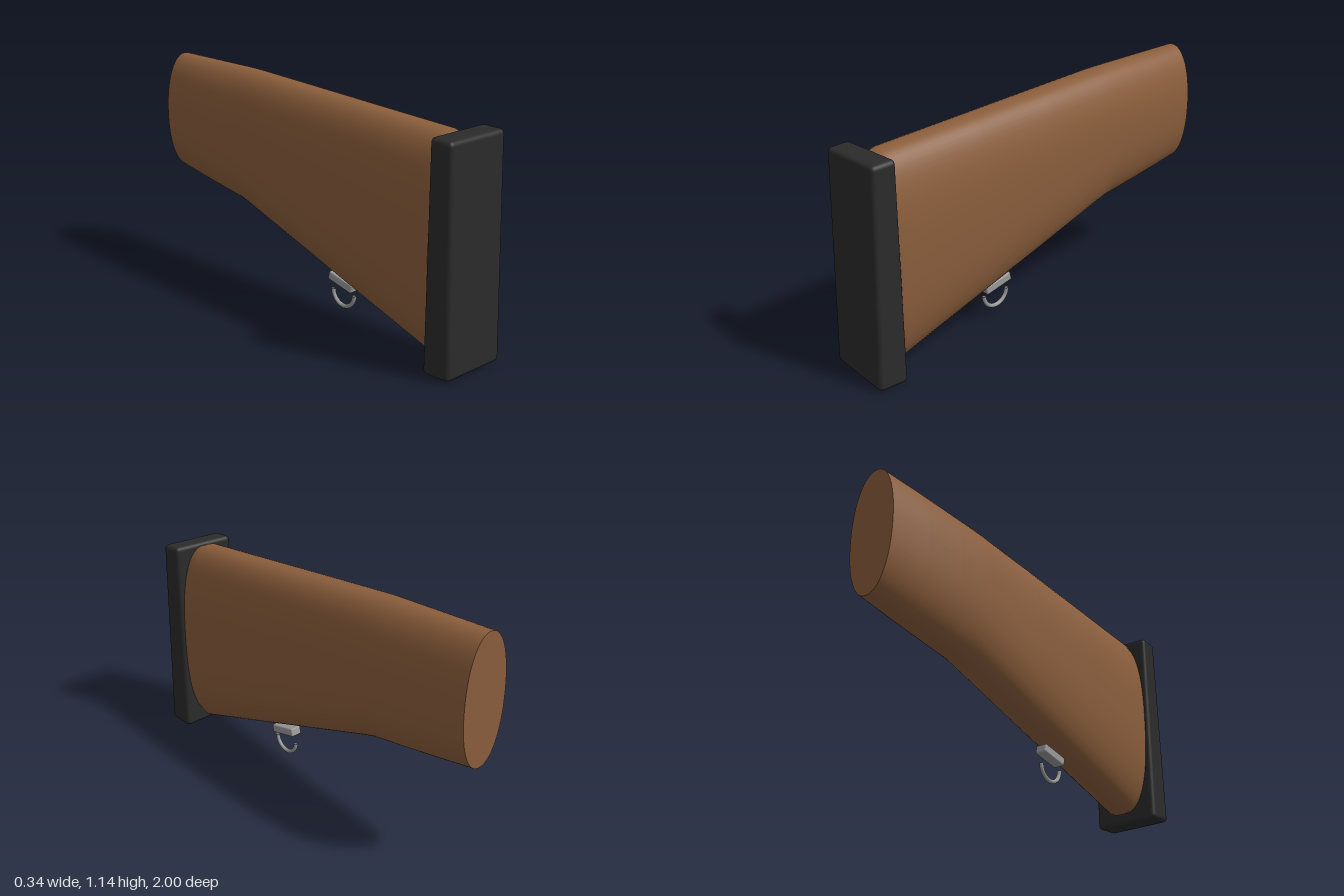
import * as THREE from 'three';
import { RoundedBoxGeometry } from 'three/addons/geometries/RoundedBoxGeometry.js';

const mat = (name, color, side = THREE.FrontSide) => {
  const m = new THREE.MeshStandardMaterial({ color, side });
  m.name = name;
  return m;
};

function part(name, geometry, material) {
  const mesh = new THREE.Mesh(geometry, material);
  mesh.name = name;
  return mesh;
}

// Superelliptic sections [z, bottom, top, half width, exponent], butt to grip;
// repeated sections make a crease, zero-size sections close the ends.
function stockGeometry() {
  const sections = [
    [0.85, 0.53, 0.53, 0, 2.5],
    [0.85, 0.055, 1.01, 0.152, 2.5],
    [0.85, 0.055, 1.01, 0.152, 2.5],
    [0.81, 0.04, 1.024, 0.156, 2.5],
    [0.36, 0.186, 1.058, 0.153, 2.5],
    [-0.05, 0.319, 1.09, 0.151, 2.45],
    [-0.4, 0.432, 1.117, 0.149, 2.35],
    [-0.46, 0.448, 1.121, 0.148, 2.3],
    [-0.6, 0.468, 1.126, 0.146, 2.25],
    [-0.8, 0.498, 1.133, 0.139, 2.2],
    [-1, 0.53, 1.14, 0.126, 2.15],
    [-1, 0.53, 1.14, 0.126, 2.15],
    [-1, 0.835, 0.835, 0, 2.15],
  ];
  const sides = 64;
  const positions = [], index = [];
  const curve = (v, n) => Math.sign(v) * Math.abs(v) ** (2 / n);
  sections.forEach(([z, bottom, top, half, n], r) => {
    for (let i = 0; i < sides; i++) {
      const a = (i / sides) * Math.PI * 2;
      positions.push(
        half * curve(Math.cos(a), n),
        (bottom + top) / 2 + ((top - bottom) / 2) * curve(Math.sin(a), n),
        z
      );
      if (r === sections.length - 1) continue;
      const p = r * sides + i, q = r * sides + ((i + 1) % sides);
      index.push(p, p + sides, q, q, p + sides, q + sides);
    }
  });
  const g = new THREE.BufferGeometry();
  g.setAttribute('position', new THREE.Float32BufferAttribute(positions, 3));
  g.setIndex(index);
  g.computeVertexNormals();
  return g;
}

// Rounded block, thinner at the top and very slightly skewed
function padGeometry() {
  const g = new RoundedBoxGeometry(0.34, 1.014, 0.144, 3, 0.022);
  const p = g.attributes.position;
  for (let i = 0; i < p.count; i++) {
    const x = p.getX(i), y = p.getY(i), z = p.getZ(i);
    const front = z / 0.144 + 0.5, up = y / 1.014 + 0.5;
    p.setY(i, y * (1 + 0.04 * x - 0.012 * (front - 0.5)));
    p.setZ(i, z - front * up * 0.034 + (front - 0.5) * x * 0.02);
  }
  g.translate(0, 0.514, 0.926);
  return g;
}

export function createModel() {
  const wood = mat('brown wood', 0x8b5e3c);
  const rubber = mat('black rubber', 0x2b2b2b);
  const metal = mat('grey metal', 0x999999, THREE.DoubleSide);

  const model = new THREE.Group();
  model.name = 'shoulderStock';
  model.add(part('stock', stockGeometry(), wood));
  model.add(part('buttPad', padGeometry(), rubber));

  // Sling swivel: tilted base plate and an open half loop below it
  const swivel = new THREE.Group();
  swivel.name = 'slingSwivel';
  const base = part('swivelBase', new RoundedBoxGeometry(0.06, 0.042, 0.155, 2, 0.007), metal);
  base.position.set(0, 0.193, 0.217);
  base.rotation.x = 0.22;
  const loop = part('swivelLoop', new THREE.TorusGeometry(0.07, 0.0105, 10, 24, Math.PI), metal);
  loop.rotation.set(0, Math.PI / 2, Math.PI, 'YXZ');
  loop.position.set(0, 0.137, 0.217);
  swivel.add(base, loop);
  model.add(swivel);

  return model;
}
